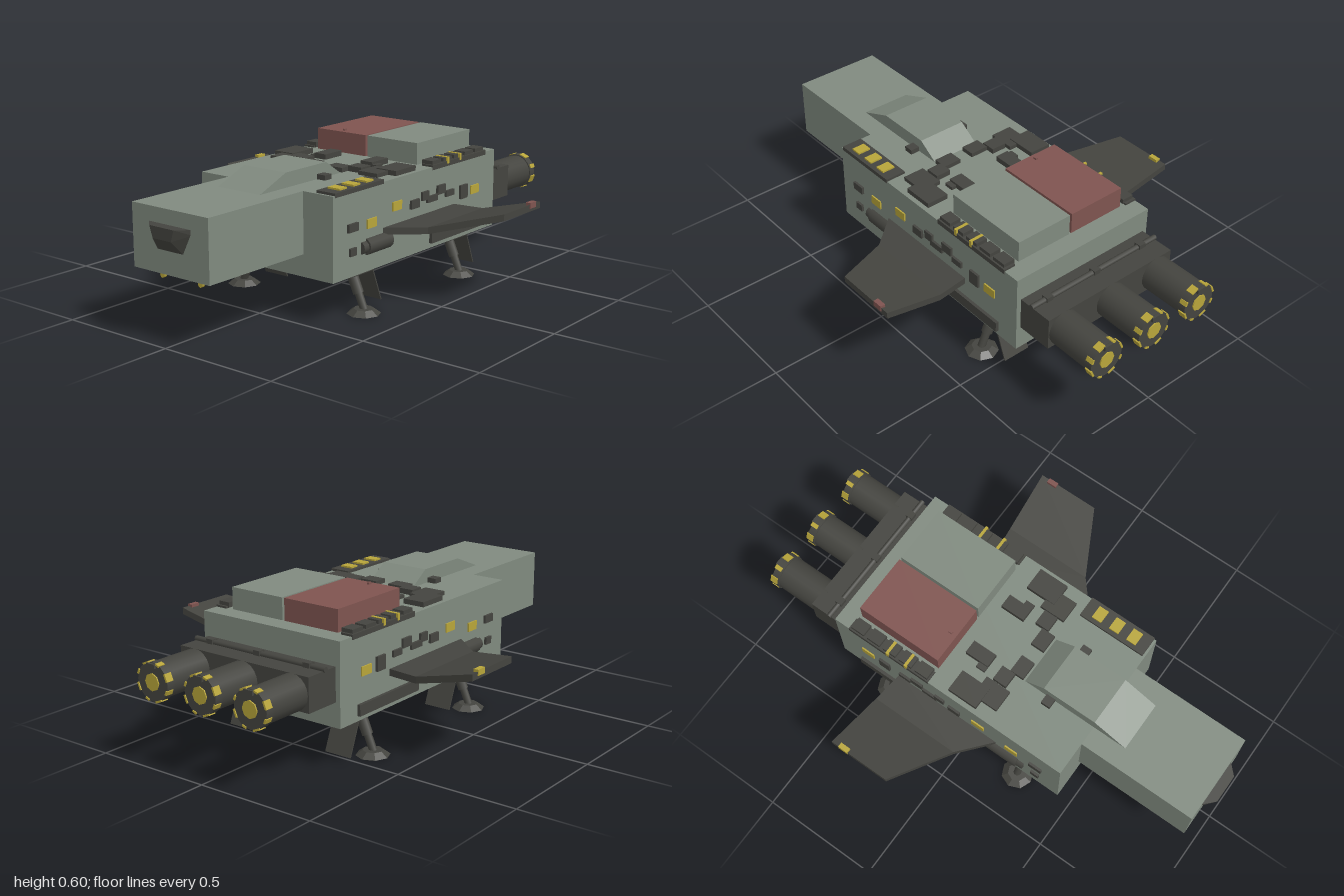
import * as THREE from 'three';
import { ConvexGeometry } from 'three/addons/geometries/ConvexGeometry.js';

const mat = (name, color) => {
  const m = new THREE.MeshStandardMaterial({ color });
  m.name = name;
  return m;
};

export function createModel() {
  const hull = mat('hull grey green', 0x808a7f);
  const dark = mat('dark metal', 0x44443f);
  const yellow = mat('yellow', 0xb8a53a);
  const red = mat('dull red', 0x7f5450);

  const ship = new THREE.Group();
  ship.name = 'dropship';

  const add = (name, geometry, material, parent = ship) => {
    const mesh = new THREE.Mesh(geometry, material);
    mesh.name = name;
    parent.add(mesh);
    return mesh;
  };
  // Box given by its limits on each axis
  const box = (name, m, x0, x1, y0, y1, z0, z1, parent) => {
    const g = new THREE.BoxGeometry(Math.abs(x1 - x0), y1 - y0, z1 - z0);
    g.translate((x0 + x1) / 2, (y0 + y1) / 2, (z0 + z1) / 2);
    return add(name, g, m, parent);
  };
  const solid = (name, m, points, parent) =>
    add(name, new ConvexGeometry(points.map(p => new THREE.Vector3(...p))), m, parent);
  // Round bar between two points
  const rod = (name, m, a, b, r, parent, sides = 10) => {
    const from = new THREE.Vector3(...a), to = new THREE.Vector3(...b);
    const dir = to.clone().sub(from);
    const mesh = add(name, new THREE.CylinderGeometry(r, r, dir.length(), sides), m, parent);
    mesh.position.copy(from).add(to).multiplyScalar(0.5);
    mesh.quaternion.setFromUnitVectors(new THREE.Vector3(0, 1, 0), dir.normalize());
    return mesh;
  };

  // Fuselage
  box('mainBody', hull, -0.33, 0.33, 0.172, 0.502, -0.62, 0.46);
  box('noseSection', hull, -0.188, 0.188, 0.26, 0.502, 0.45, 0.96);
  const canopy = [];
  for (const x of [-0.105, 0.105])
    canopy.push([x, 0.5, 0.61], [x, 0.56, 0.46], [x, 0.56, 0.225], [x, 0.5, 0.135]);
  solid('canopy', hull, canopy);
  const sensor = [];
  for (const s of [-1, 1])
    sensor.push([s * 0.107, 0.445, 0.955], [s * 0.107, 0.425, 0.955], [s * 0.065, 0.343, 0.955],
      [s * 0.06, 0.445, 1], [s * 0.045, 0.4, 1]);
  solid('noseSensor', dark, sensor);

  // Roof hatches
  box('redHatch', red, -0.258, -0.005, 0.5, 0.59, -0.54, -0.165);
  box('greyHatch', hull, 0.005, 0.255, 0.5, 0.59, -0.54, -0.165);
  box('hatchKnob', red, -0.14, -0.13, 0.589, 0.598, -0.2, -0.185);

  // Roof panel with yellow lamps, left side only
  box('lampPanel', dark, 0.243, 0.332, 0.495, 0.512, 0.155, 0.45);
  for (let i = 0; i < 3; i++)
    box('roofLamp', yellow, 0.26, 0.316, 0.511, 0.519, 0.2 + i * 0.081, 0.243 + i * 0.081);

  // Rear engine block
  box('engineBlock', dark, -0.31, 0.31, 0.27, 0.405, -0.77, -0.61);
  rod('rearPipe', dark, [-0.315, 0.41, -0.68], [0.315, 0.41, -0.68], 0.011);
  for (const x of [-0.235, 0, 0.235])
    box('pipeClamp', dark, x - 0.015, x + 0.015, 0.395, 0.424, -0.695, -0.665);

  // Engines
  for (const x of [-0.235, 0, 0.235]) {
    const engine = new THREE.Group();
    engine.name = 'engine';
    engine.position.set(x, 0.335, 0);
    ship.add(engine);
    rod('engineBarrel', dark, [0, 0, -0.75], [0, 0, -0.96], 0.071, engine, 20);
    rod('engineRim', dark, [0, 0, -0.955], [0, 0, -0.99], 0.075, engine, 20);
    rod('nozzle', yellow, [0, 0, -0.98], [0, 0, -0.995], 0.034, engine, 8);
    for (let i = 0; i < 8; i++) {
      const mark = new THREE.Group();
      mark.name = 'rimMark';
      mark.rotation.z = (i + 0.5) * Math.PI / 4;
      engine.add(mark);
      const w = i % 2 ? 0.016 : 0.009;
      box('rimPlate', yellow, -w, w, 0.07, 0.0775, -0.994, -0.962, mark);
    }
    box('rimTab', dark, -0.02, 0.02, 0.055, 0.072, -1, -0.985, engine);
  }

  for (const s of [-1, 1]) {
    const side = new THREE.Group();
    side.name = s > 0 ? 'leftSide' : 'rightSide';
    ship.add(side);
    const sbox = (name, m, x0, x1, ...rest) => box(name, m, s * x0, s * x1, ...rest, side);

    // Wing: flat root panel and raised outer panel
    const section = (x, y, front, back) => [
      [s * x, y, front], [s * x, y, back], [s * x, y + 0.027, front], [s * x, y + 0.027, back]];
    const middle = section(0.46, 0.295, 0.045, -0.338);
    solid('wingRoot', dark, [...section(0.32, 0.295, 0.165, -0.322), ...middle], side);
    solid('wingOuter', dark, [...middle, ...section(0.715, 0.36, -0.09, -0.353)], side);
    sbox('wingTipLight', s > 0 ? red : yellow, 0.697, 0.718, 0.372, 0.395, -0.318, -0.275);

    // Strip of roof blocks with yellow bands
    sbox('roofRail', dark, 0.28, 0.332, 0.49, 0.51, -0.55, -0.165);
    for (let i = 0; i < 5; i++)
      sbox('roofBlock', dark, 0.275, 0.325, 0.505, 0.525, -0.54 + i * 0.077, -0.48 + i * 0.077);
    for (const z of [-0.36, -0.272])
      sbox('yellowBand', yellow, 0.274, 0.334, 0.5, 0.527, z - 0.006, z + 0.006);

    // Roof equipment: x0, x1, z0, z1, top
    for (const [x0, x1, z0, z1, y] of [
      [0.215, 0.31, -0.08, 0.05, 0.522], [0.18, 0.272, 0.01, 0.12, 0.518],
      [0.09, 0.148, -0.115, -0.01, 0.524], [0.12, 0.17, -0.05, -0.01, 0.515],
      [0.11, 0.175, 0.035, 0.095, 0.524], [0.03, 0.108, 0.07, 0.13, 0.52],
      [0.105, 0.145, 0.24, 0.28, 0.522]])
      sbox('roofEquipment', dark, x0, x1, 0.495, y, z0, z1);

    // Side fittings: z0, z1, y0, y1
    for (const [z0, z1, y0, y1] of [
      [0.32, 0.378, 0.348, 0.38], [0.33, 0.368, 0.255, 0.285],
      [-0.07, -0.015, 0.36, 0.395], [-0.135, -0.09, 0.38, 0.415],
      [-0.195, -0.125, 0.365, 0.39], [-0.25, -0.195, 0.385, 0.422],
      [-0.31, -0.255, 0.365, 0.39], [-0.41, -0.36, 0.335, 0.392]])
      sbox('sideFitting', dark, 0.32, 0.34, y0, y1, z0, z1);
    for (const [z, y] of [[0.232, 0.358], [0.072, 0.393], [-0.47, 0.358]])
      sbox('sideMarker', yellow, 0.327, 0.336, y - 0.018, y + 0.018, z - 0.029, z + 0.029);
    sbox('sideRail', dark, 0.32, 0.343, 0.193, 0.237, -0.52, -0.152);
    rod('sidePod', dark, [s * 0.322, 0.27, 0.12], [s * 0.322, 0.27, 0.265], 0.034, side, 12);
    rod('podCap', dark, [s * 0.322, 0.27, 0.265], [s * 0.322, 0.27, 0.293], 0.026, side, 12);

    // Probe under the nose
    rod('probe', dark, [s * 0.095, 0.235, 0.73], [s * 0.095, 0.235, 0.9], 0.009, side, 8);
    rod('probeTip', yellow, [s * 0.095, 0.235, 0.9], [s * 0.095, 0.235, 0.912], 0.012, side, 8);
    for (const z of [0.785, 0.85])
      sbox('probeMount', dark, 0.087, 0.103, 0.235, 0.265, z - 0.01, z + 0.01);

    // Landing gear
    for (const z of [0.25, -0.4]) {
      const gear = new THREE.Group();
      gear.name = 'landingGear';
      gear.position.z = z;
      side.add(gear);
      const at = (x, y, dz) => [s * x, y, dz];
      box('gearBase', dark, s * 0.18, s * 0.305, 0.156, 0.173, -0.07, 0.07, gear);
      rod('upperStrut', dark, at(0.245, 0.165, 0), at(0.285, 0.075, 0), 0.022, gear);
      rod('lowerStrut', dark, at(0.275, 0.1, 0), at(0.312, 0.015, 0), 0.016, gear);
      const foot = add('foot', new THREE.CylinderGeometry(0.04, 0.067, 0.02, 8).toNonIndexed(), dark, gear);
      foot.geometry.computeVertexNormals();
      foot.position.set(s * 0.31, 0.01, 0);
      const door = [];
      for (const x of [0.182, 0.3])
        for (const t of [0, 0.006])
          door.push(at(x, 0.16, -0.066 - t), at(x, 0.022, -0.121 - t));
      solid('gearDoor', dark, door, gear);
      for (const dz of [-0.04, 0.04])
        box('gearLamp', yellow, s * 0.215, s * 0.235, 0.149, 0.157, dz - 0.01, dz + 0.01, gear);
    }
  }
  return ship;
}
